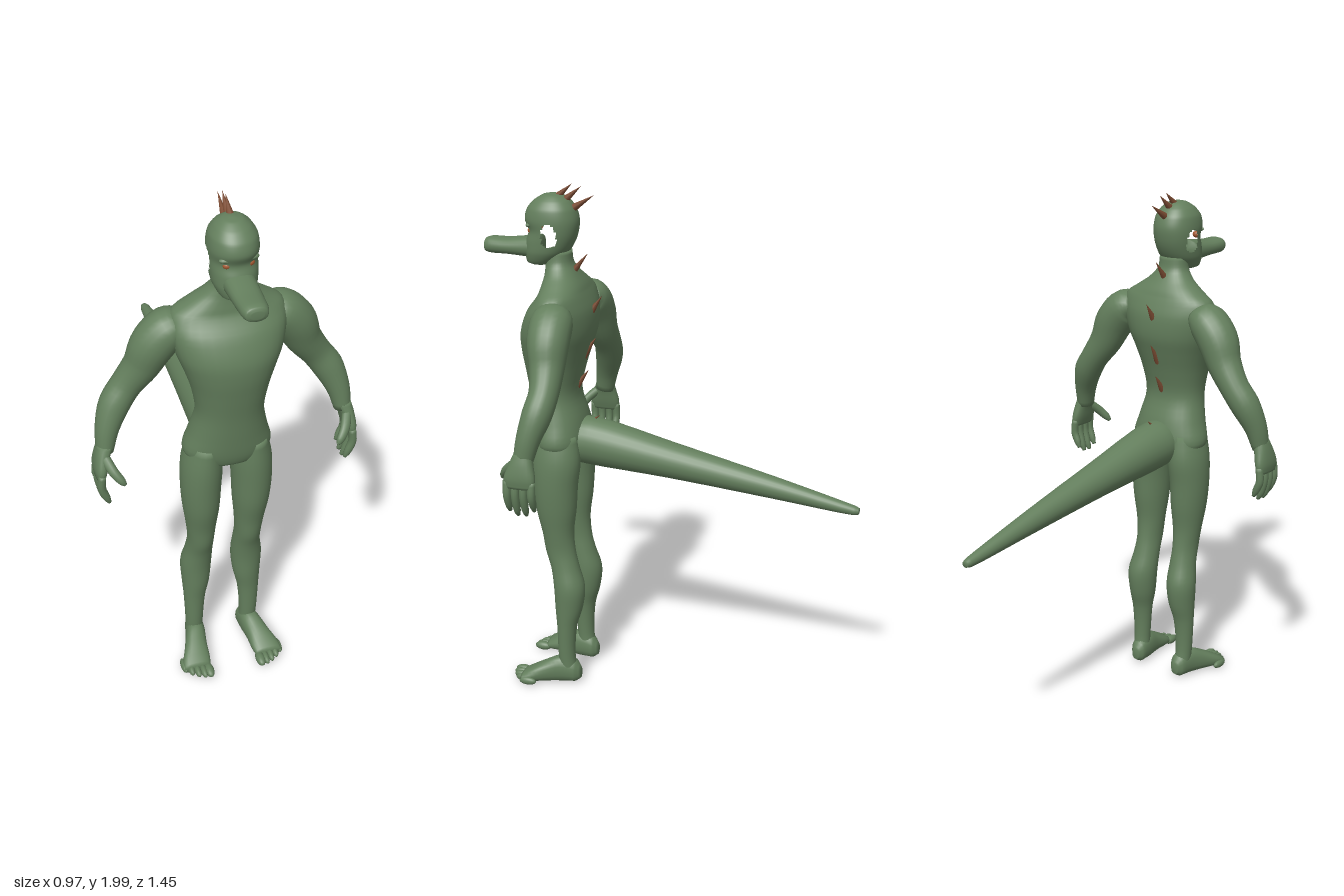
import * as THREE from 'three';

const V = (x, y, z) => new THREE.Vector3(x, y, z);
const UP = V(0, 1, 0), FRONT = V(0, 0, 1), DOWN = V(0, -1, 0);

// Smooth skin through rows [x, y, z, radiusU, radiusV].
// dir fixes the ring plane; without it the rings follow the path.
function loft(rows, { seg = 20, steps = 4, ref = FRONT, dir = null, power = 2, skip = null } = {}) {
  const path = new THREE.CatmullRomCurve3(rows.map(r => V(r[0], r[1], r[2])));
  const radii = new THREE.CatmullRomCurve3(rows.map(r => V(r[3], r[4], r[1] * 0.5)));
  const n = (rows.length - 1) * steps, pts = [], index = [];
  const bend = t => Math.sign(t) * Math.pow(Math.abs(t), 2 / power);
  for (let i = 0; i <= n; i++) {
    const c = path.getPoint(i / n), r = radii.getPoint(i / n);
    const w = dir ? dir.clone() : path.getTangent(i / n);
    const u = w.clone().cross(ref).normalize(), v = u.clone().cross(w).normalize();
    for (let j = 0; j < seg; j++) {
      const a = (j / seg) * Math.PI * 2;
      pts.push(c.clone().addScaledVector(u, bend(Math.cos(a)) * r.x)
        .addScaledVector(v, bend(Math.sin(a)) * r.y));
    }
  }
  for (let i = 0; i < n; i++) for (let j = 0; j < seg; j++) {
    const k = (j + 1) % seg;
    const a = i * seg + j, b = i * seg + k, c = b + seg, d = a + seg;
    if (skip && skip(pts[a].clone().add(pts[c]).multiplyScalar(0.5))) continue;
    index.push(a, d, b, b, d, c);
  }
  const s = pts.length, last = n * seg;
  pts.push(path.getPoint(0), path.getPoint(1));
  for (let j = 0; j < seg; j++) {
    const k = (j + 1) % seg;
    index.push(s, j, k, s + 1, last + k, last + j);
  }
  const g = new THREE.BufferGeometry().setFromPoints(pts);
  g.setIndex(index);
  g.computeVertexNormals();
  return g;
}

// Symmetric rows [y, halfWidth, zFront, zBack] to loft rows
const profile = rows => rows.map(([y, w, f, b]) => [0, y, (f + b) / 2, w, (f - b) / 2]);
const side = (rows, s) => rows.map(([x, ...rest]) => [x * s, ...rest]);

export function createModel() {
  const model = new THREE.Group();
  const mat = (name, color) => {
    const m = new THREE.MeshStandardMaterial({ color });
    m.name = name;
    return m;
  };
  const skin = mat('green skin', 0x647f5d);
  const horn = mat('brown horn', 0x7c4c33);
  const amber = mat('amber eye', 0xa45a32);
  const add = (name, geo, material = skin, parent = model) => {
    const m = new THREE.Mesh(geo, material);
    m.name = name;
    parent.add(m);
    return m;
  };
  const ball = (name, x, y, z, rx, ry, rz, material = skin, parent = model) => {
    const m = add(name, new THREE.SphereGeometry(1, 16, 12), material, parent);
    m.position.set(x, y, z);
    m.scale.set(rx, ry, rz);
    return m;
  };

  // Torso with neck
  add('torso', loft(profile([
    [0.955, 0.09, 0.49, 0.37], [0.975, 0.135, 0.52, 0.345], [1.02, 0.162, 0.535, 0.335],
    [1.1, 0.142, 0.545, 0.345], [1.2, 0.122, 0.555, 0.37], [1.3, 0.137, 0.57, 0.35],
    [1.38, 0.162, 0.58, 0.325], [1.45, 0.188, 0.577, 0.305], [1.53, 0.205, 0.545, 0.305],
    [1.59, 0.195, 0.5, 0.325], [1.625, 0.145, 0.49, 0.34], [1.66, 0.095, 0.485, 0.362],
    [1.7, 0.062, 0.485, 0.385], [1.745, 0.056, 0.487, 0.39],
  ]), { seg: 32, dir: UP, power: 2.2 }));

  // Head with an open ear hole on each side
  const earHole = p => Math.abs(p.x) > 0.04
    && ((p.z - 0.447) / 0.03) ** 2 + ((p.y - 1.808) / 0.044) ** 2 < 1;
  add('head', loft(profile([
    [1.69, 0.03, 0.545, 0.48], [1.7, 0.055, 0.56, 0.45], [1.74, 0.076, 0.565, 0.4],
    [1.78, 0.081, 0.56, 0.375], [1.82, 0.083, 0.548, 0.362], [1.86, 0.085, 0.562, 0.358],
    [1.9, 0.079, 0.552, 0.368], [1.93, 0.06, 0.525, 0.39], [1.95, 0.034, 0.492, 0.42],
    [1.956, 0.008, 0.465, 0.449],
  ]), { seg: 64, steps: 6, dir: UP, power: 2.15, skip: earHole }));

  // Snout
  add('snout', loft([
    [0, 1.754, 0.51, 0.056, 0.044], [0, 1.752, 0.57, 0.053, 0.037], [0, 1.75, 0.64, 0.05, 0.031],
    [0, 1.75, 0.7, 0.046, 0.031], [0, 1.75, 0.722, 0.038, 0.026], [0, 1.75, 0.728, 0.022, 0.014],
  ], { ref: UP, dir: FRONT, power: 2.3 }));

  // Tail
  add('tail', loft([
    [0, 1.012, 0.4, 0.088, 0.09], [0, 1.007, 0.32, 0.09, 0.094], [0, 0.96, 0, 0.069, 0.069],
    [0, 0.895, -0.4, 0.041, 0.042], [0, 0.841, -0.705, 0.019, 0.018], [0, 0.839, -0.725, 0.013, 0.012],
  ], { ref: UP, seg: 24 }));

  // Spikes as [yBase, zBase, yTip, zTip]
  [
    [1.945, 0.435, 1.993, 0.38], [1.935, 0.405, 1.985, 0.345], [1.905, 0.375, 1.955, 0.295],
    [1.665, 0.385, 1.74, 0.323], [1.52, 0.315, 1.585, 0.27], [1.36, 0.34, 1.42, 0.298],
    [1.23, 0.375, 1.29, 0.33], [1.06, 0.352, 1.115, 0.285],
  ].forEach(([y0, z0, y1, z1]) => {
    const axis = V(0, y1 - y0, z1 - z0);
    const m = add('spike', new THREE.ConeGeometry(0.017, axis.length() + 0.02, 8), horn);
    m.quaternion.setFromUnitVectors(UP, axis.clone().normalize());
    m.position.set(0, (y0 + y1) / 2, (z0 + z1) / 2).addScaledVector(axis.normalize(), -0.01);
  });

  for (const s of [1, -1]) {
    const tag = s > 0 ? 'left' : 'right';

    // Eye and brow
    ball(tag + 'Eye', s * 0.038, 1.82, 0.528, 0.016, 0.013, 0.014, amber);
    ball(tag + 'Brow', s * 0.038, 1.842, 0.532, 0.03, 0.01, 0.014);

    // Arm
    add(tag + 'Arm', loft(side([
      [0.15, 1.54, 0.4, 0.045, 0.06], [0.195, 1.525, 0.395, 0.072, 0.078], [0.25, 1.465, 0.39, 0.078, 0.078],
      [0.29, 1.38, 0.382, 0.066, 0.065], [0.345, 1.3, 0.375, 0.056, 0.055], [0.39, 1.235, 0.385, 0.056, 0.055],
      [0.425, 1.15, 0.408, 0.043, 0.045], [0.44, 1.07, 0.425, 0.031, 0.037],
    ], s)));

    // Hand
    const hand = new THREE.Group();
    hand.name = tag + 'Hand';
    model.add(hand);
    add('palm', loft(side([
      [0.438, 1.1, 0.424, 0.03, 0.034], [0.452, 1.06, 0.428, 0.027, 0.046],
      [0.462, 1.01, 0.432, 0.024, 0.06], [0.466, 0.975, 0.432, 0.016, 0.056],
    ], s), { dir: DOWN, power: 2.4 }), skin, hand);
    [[0.386, 0.882], [0.417, 0.862], [0.449, 0.86], [0.48, 0.875]].forEach(([z, tip]) =>
      add('finger', loft(side([
        [0.464, 1, z, 0.014, 0.015], [0.468, 0.945, z, 0.015, 0.015],
        [0.453, tip + 0.025, z, 0.014, 0.013], [0.442, tip, z, 0.007, 0.007],
      ], s), { seg: 10 }), skin, hand));
    add('thumb', loft(side([
      [0.45, 1.065, 0.45, 0.018, 0.018], [0.428, 1.025, 0.495, 0.018, 0.017],
      [0.405, 0.995, 0.517, 0.015, 0.014], [0.393, 0.98, 0.524, 0.007, 0.007],
    ], s), { seg: 10 }), skin, hand);

    // Leg
    add(tag + 'Leg', loft(side([
      [0.108, 0.05, 0.4, 0.033, 0.036], [0.11, 0.12, 0.407, 0.034, 0.034], [0.108, 0.25, 0.404, 0.042, 0.04],
      [0.102, 0.33, 0.396, 0.053, 0.055], [0.1, 0.42, 0.393, 0.059, 0.062], [0.094, 0.5, 0.41, 0.052, 0.057],
      [0.092, 0.57, 0.428, 0.049, 0.06], [0.093, 0.65, 0.436, 0.056, 0.063], [0.095, 0.75, 0.44, 0.068, 0.08],
      [0.096, 0.85, 0.44, 0.074, 0.088], [0.092, 0.95, 0.436, 0.075, 0.096], [0.085, 1.05, 0.44, 0.06, 0.088],
    ], s), { dir: UP, seg: 24 }));

    // Foot and toes
    const foot = new THREE.Group();
    foot.name = tag + 'Foot';
    model.add(foot);
    add('footBody', loft(side([
      [0.104, 0.042, 0.352, 0.016, 0.024], [0.105, 0.05, 0.375, 0.034, 0.047], [0.112, 0.056, 0.43, 0.039, 0.055],
      [0.127, 0.045, 0.49, 0.045, 0.044], [0.14, 0.031, 0.545, 0.054, 0.029], [0.146, 0.022, 0.58, 0.052, 0.018],
    ], s), { ref: UP, dir: FRONT, power: 2.3 }), skin, foot);
    for (let i = 0; i < 5; i++)
      ball('toe', s * (0.104 + i * 0.022), 0.018, 0.597 - i * i * 0.003,
        i ? 0.013 : 0.018, i ? 0.016 : 0.018, 0.036, skin, foot);
  }
  return model;
}
